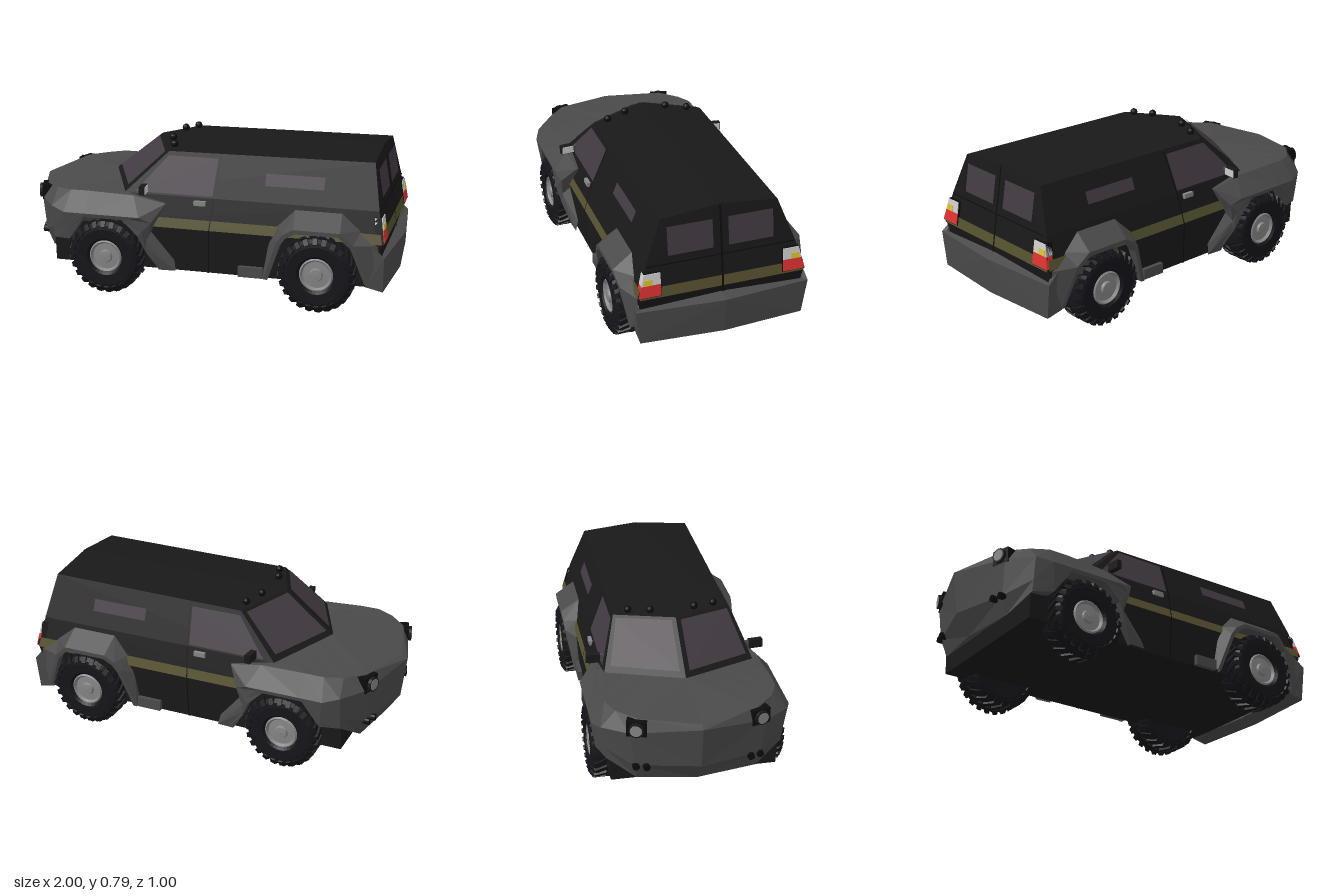
import * as THREE from 'three';

const COLORS = { black: 0x191919, grey: 0x4a4a4a, glass: 0x423a42, olive: 0x565230, tyre: 0x14141a,
  rim: 0x868686, seam: 0x0c0c0c, red: 0xdd3333, white: 0xc0c0c0, yellow: 0xd8c030 };
const mats = {};
for (const k in COLORS) {
  mats[k] = new THREE.MeshStandardMaterial({ color: COLORS[k], flatShading: true, side: THREE.DoubleSide });
}

function mesh(name, geo, mat, x = 0, y = 0, z = 0) {
  const m = new THREE.Mesh(geo, mats[mat]);
  m.name = name;
  m.position.set(x, y, z);
  return m;
}

// Skin between rows of [x, y, z] points, plus its mirror image across z = 0
function loft(name, rows, mat) {
  const pos = [];
  const tri = (a, b, c) => {
    pos.push(...a, ...b, ...c);
    for (const p of [a, c, b]) pos.push(p[0], p[1], -p[2]);
  };
  for (let i = 0; i < rows.length - 1; i++) {
    for (let j = 0; j < rows[i].length - 1; j++) {
      const a = rows[i][j], b = rows[i][j + 1], c = rows[i + 1][j + 1], d = rows[i + 1][j];
      tri(a, b, c);
      tri(a, c, d);
    }
  }
  const g = new THREE.BufferGeometry();
  g.setAttribute('position', new THREE.Float32BufferAttribute(pos, 3));
  g.computeVertexNormals();
  return mesh(name, g, mat);
}
// Flat four-cornered panel: bottom front, bottom rear, top rear, top front
const quad = (name, [a, b, c, d], mat) => loft(name, [[a, b], [d, c]], mat);
const mix = (a, b, t) => a.map((v, i) => v + (b[i] - v) * t);

// Body side half-width and rear face position by height
const sideZ = y => y < 0.37 ? 0.42 + (y - 0.14) * 0.0435
  : y < 0.53 ? 0.43 - (y - 0.37) * 0.266 : 0.387 - (y - 0.53) * 0.39;
const rearX = y => y < 0.53 ? 0.94 - (y - 0.37) * 0.156 : 0.915 - (y - 0.53) * 0.165;
const sidePanel = (name, pts, mat, off = 0.005) =>
  quad(name, pts.map(([x, y]) => [x, y, sideZ(y) + off]), mat);
const rearPanel = (name, z0, z1, y0, y1, mat, off = 0.006) =>
  quad(name, [[z1, y0], [z0, y0], [z0, y1], [z1, y1]].map(([z, y]) => [rearX(y) + off, y, z]), mat);

// Corners of one windscreen half: cowl centre and side, roof centre and side
const cowlMid = [-0.6, 0.55, 0], cowlSide = [-0.42, 0.53, 0.387];
const roofMid = [-0.33, 0.765, 0], roofSide = [-0.2, 0.745, 0.303];

function makeBody() {
  // Each ring runs front centre, front corner, rear corner, rear centre
  const box = (y, front) => [[front, y, 0], [front, y, sideZ(y)], [rearX(y), y, sideZ(y)], [rearX(y), y, 0]];
  const close = r => [r[0], r[0], r[3], r[3]];
  const floor = box(0.14, -0.8);
  floor[2][0] = floor[3][0] = 0.87;
  const belt = [cowlMid, cowlSide, ...box(0.53, 0).slice(2)];
  const roof = [roofMid, roofSide, [0.875, 0.755, 0.3], [0.875, 0.785, 0]];
  return loft('body', [close(floor), floor, box(0.37, -0.8), belt, roof, close(roof)], 'black');
}

// Nose, hood and front fenders, from the nose centre back around the wheel arch
function makeNose() {
  const lip = [[-0.9, 0.17, 0], [-0.86, 0.18, 0.3], [-0.8, 0.27, 0.44], [-0.7, 0.28, 0.48], [-0.61, 0.41, 0.495],
    [-0.4, 0.41, 0.495], [-0.32, 0.33, 0.495], [-0.28, 0.24, 0.475], [-0.22, 0.14, 0.445]];
  const waist = [[-1, 0.5, 0], [-0.9, 0.46, 0.34], [-0.8, 0.45, 0.465], [-0.72, 0.43, 0.5], [-0.6, 0.43, 0.5],
    [-0.31, 0.43, 0.5], [-0.25, 0.4, 0.48], [-0.28, 0.3, 0.47], [-0.13, 0.14, 0.44]];
  const top = [[-0.97, 0.515, 0], [-0.88, 0.53, 0.3], [-0.79, 0.53, 0.39], [-0.7, 0.535, 0.43], [-0.6, 0.535, 0.43],
    [-0.36, 0.525, 0.42], [-0.19, 0.49, 0.41], [-0.265, 0.34, 0.432], [-0.14, 0.19, 0.425]];
  const inner = lip.map(([x, y, z]) => [Math.max(x, -0.78), x < -0.7 ? 0.26 : y, z * 0.8]);
  // The chin bulges forward at the centre
  const chin = lip.map((p, j) => {
    const [x, y, z] = mix(p, waist[j], 0.33);
    return [x - 0.04 * Math.max(0, 1 - j / 2), y, z];
  });
  // The hood runs back to the foot of the windscreen; the fender tail turns into the body
  const hood = top.map((p, j) => j > 5 ? [p[0], p[1], p[2] - 0.02]
    : mix([-0.59, 0.556, 0], [-0.41, 0.533, 0.383], Math.max(0, j - 1) / 4));
  return loft('hoodAndFrontFenders', [inner, lip, chin, waist, top, hood], 'grey');
}

// Rear fenders: arch lip, a slightly larger outer edge, and the top edge on the body
function makeRearFenders() {
  const lip = [[0.36, 0.14, 0.45], [0.43, 0.34, 0.485], [0.46, 0.38, 0.49], [0.51, 0.41, 0.495],
    [0.73, 0.41, 0.495], [0.79, 0.35, 0.48], [0.86, 0.16, 0.45]];
  const top = [[0.33, 0.16], [0.36, 0.33], [0.4, 0.42], [0.49, 0.51], [0.73, 0.51], [0.83, 0.43], [0.93, 0.36]];
  return loft('rearFenders', [
    lip.map(([x, y]) => [x, y, 0.4]),
    lip,
    lip.map(([x, y, z]) => [0.62 + (x - 0.62) * 1.08, 0.14 + (y - 0.14) * 1.08, z]),
    top.map(([x, y]) => [x, y, sideZ(y) - 0.005]),
  ], 'grey');
}

// Tail lamp block wrapping the rear corner between two heights
function lampBlock(name, y0, y1, z0, z1, mat, off) {
  const ring = y => {
    const x = rearX(y) + off, z = Math.min(z1, sideZ(y) + 0.004);
    return [[x - 0.04, y, z], [x, y, z], [x, y, z0], [x - 0.04, y, z0]];
  };
  const close = r => [r[0], r[1], r[1], r[0]];
  return loft(name, [close(ring(y0)), ring(y0), ring(y1), close(ring(y1))], mat);
}

function makeWheel() {
  const w = new THREE.Group();
  w.name = 'wheel';
  const turned = (name, pts, mat) => mesh(name,
    new THREE.LatheGeometry(pts.map(p => new THREE.Vector2(...p)), 32).rotateX(Math.PI / 2), mat);
  w.add(turned('tyre', [[0.001, -0.07], [0.15, -0.082], [0.172, -0.078], [0.187, -0.06], [0.187, 0.058],
    [0.172, 0.078], [0.15, 0.082], [0.1, 0.08], [0.086, 0.065]], 'tyre'));
  w.add(turned('rim', [[0.088, 0.066], [0.08, 0.074], [0.07, 0.06], [0.035, 0.062], [0.03, 0.075],
    [0.001, 0.077]], 'rim'));
  // Chevron tread blocks that fold over the shoulder
  const lug = new THREE.BoxGeometry(0.024, 0.02, 0.07);
  const shoulder = new THREE.BoxGeometry(0.024, 0.034, 0.012);
  const n = 24;
  for (let i = 0; i < n; i++) {
    for (const s of [-1, 1]) {
      const holder = new THREE.Group();
      holder.name = 'treadBlock';
      const block = mesh('tread', lug, 'tyre', 0, 0.188, s * 0.034);
      block.rotation.y = s * 0.45;
      const edge = mesh('shoulderTread', shoulder, 'tyre', s * s * 0.016, 0.176, s * 0.074);
      edge.rotation.x = -s * 0.55;
      holder.add(block, edge);
      holder.rotation.z = (i + (s > 0 ? 0.5 : 0)) / n * Math.PI * 2;
      w.add(holder);
    }
  }
  return w;
}

export function createModel() {
  const car = new THREE.Group();
  car.name = 'armouredCar';
  car.add(makeBody(), makeNose(), makeRearFenders());

  // Rear bumper, slightly pointed
  const under = [0.87, 0.13, 0];
  car.add(loft('rearBumper', [
    [under, under, under],
    [[0.86, 0.14, 0.425], [0.95, 0.12, 0.425], [0.98, 0.12, 0]],
    [[0.88, 0.37, 0.44], [0.955, 0.305, 0.45], [1, 0.313, 0]],
    [[0.89, 0.375, 0.42], [0.94, 0.312, 0.425], [0.945, 0.333, 0]],
  ], 'grey'));

  // Windscreen panes, inset in the planar frame
  const pane = (u, v) => {
    const [x, y, z] = mix(mix(cowlMid, cowlSide, u), mix(roofMid, roofSide, u), v);
    return [x - 0.005, y + 0.006, z + 0.0025];
  };
  car.add(quad('windscreen', [pane(0.06, 0.12), pane(0.93, 0.12), pane(0.94, 0.94), pane(0.07, 0.94)], 'glass'));

  // Side glass, stripe, door seams
  car.add(sidePanel('doorWindow', [[-0.36, 0.54], [0.055, 0.54], [0.068, 0.725], [-0.2, 0.725]], 'glass'));
  car.add(sidePanel('sideWindow', [[0.325, 0.61], [0.63, 0.61], [0.63, 0.67], [0.325, 0.67]], 'glass'));
  car.add(sidePanel('sideStripe', [[-0.28, 0.37], [0.94, 0.37], [0.93, 0.42], [-0.28, 0.42]], 'olive'));
  const seam = [[0.04, 0.14], [0.045, 0.37], [0.06, 0.53], [0.08, 0.74]];
  for (let i = 0; i < 3; i++) {
    const [[xa, ya], [xb, yb]] = [seam[i], seam[i + 1]];
    car.add(sidePanel('doorSeam', [[xa, ya], [xa + 0.006, ya], [xb + 0.006, yb], [xb, yb]], 'seam', 0.007));
  }

  // Tailgate glass, stripe, seams and lamps
  car.add(rearPanel('rearWindow', 0.04, 0.272, 0.57, 0.715, 'glass'));
  car.add(rearPanel('rearStripe', 0, 0.425, 0.365, 0.42, 'olive'));
  car.add(rearPanel('tailgateSeam', 0, 0.005, 0.335, 0.53, 'seam', 0.009));
  car.add(rearPanel('tailgateSeam', 0, 0.005, 0.53, 0.78, 'seam', 0.009));
  car.add(rearPanel('tailgateCrossSeam', 0, 0.38, 0.527, 0.533, 'seam'));
  car.add(lampBlock('lampHousings', 0.376, 0.502, 0.313, 1, 'seam', 0.01));
  car.add(lampBlock('brakeLenses', 0.38, 0.44, 0.317, 1, 'red', 0.014));
  car.add(lampBlock('reverseLenses', 0.44, 0.498, 0.317, 1, 'white', 0.014));
  car.add(lampBlock('signalLenses', 0.441, 0.47, 0.36, 0.403, 'yellow', 0.017));

  // Four wheels and the fittings on both sides
  const cube = (...size) => new THREE.BoxGeometry(...size);
  const barrel = (r, d) => new THREE.CylinderGeometry(r, r, d, 12).rotateZ(Math.PI / 2);
  for (const s of [-1, 1]) {
    for (const x of [-0.5, 0.62]) {
      const wheel = makeWheel();
      wheel.position.set(x, 0.2, s * 0.414);
      if (s < 0) wheel.rotation.y = Math.PI;
      car.add(wheel);
    }
    car.add(mesh('sideStep', cube(0.13, 0.055, 0.06), 'grey', 0.27, 0.168, s * 0.415));
    car.add(mesh('doorHandle', cube(0.062, 0.024, 0.02), 'rim', -0.01, 0.503, s * 0.4));

    // Mirror on a short arm
    car.add(mesh('mirrorArm', cube(0.02, 0.036, 0.05), 'grey', -0.305, 0.56, s * 0.385));
    const mirror = mesh('mirrorHousing', cube(0.03, 0.045, 0.073), 'black', -0.305, 0.563, s * 0.428);
    mirror.add(mesh('mirrorGlass', cube(0.006, 0.038, 0.065), 'white', 0.015));
    mirror.rotation.y = s * 0.1;
    car.add(mirror);

    // Headlamp and paired fog lamps
    const head = new THREE.Group();
    head.name = 'headlamp';
    head.add(mesh('headlampHousing', cube(0.06, 0.08, 0.1), 'seam', 0.012));
    head.add(mesh('headlampRing', barrel(0.038, 0.04), 'black', -0.014));
    head.add(mesh('headlampLens', barrel(0.03, 0.044), 'rim', -0.014));
    head.position.set(-0.892, 0.485, s * 0.303);
    head.rotation.y = s * 0.3;
    car.add(head);
    for (const [x, z] of [[-0.9, 0.26], [-0.885, 0.31]]) {
      car.add(mesh('fogLamp', barrel(0.018, 0.05), 'seam', x, 0.27, s * z));
    }

    // Roof lamps
    for (const [x, y, z] of [[-0.235, 0.774, 0.115], [-0.195, 0.765, 0.225]]) {
      car.add(mesh('roofLamp', new THREE.SphereGeometry(0.02, 12, 8), 'seam', x, y, s * z));
    }
  }
  return car;
}
